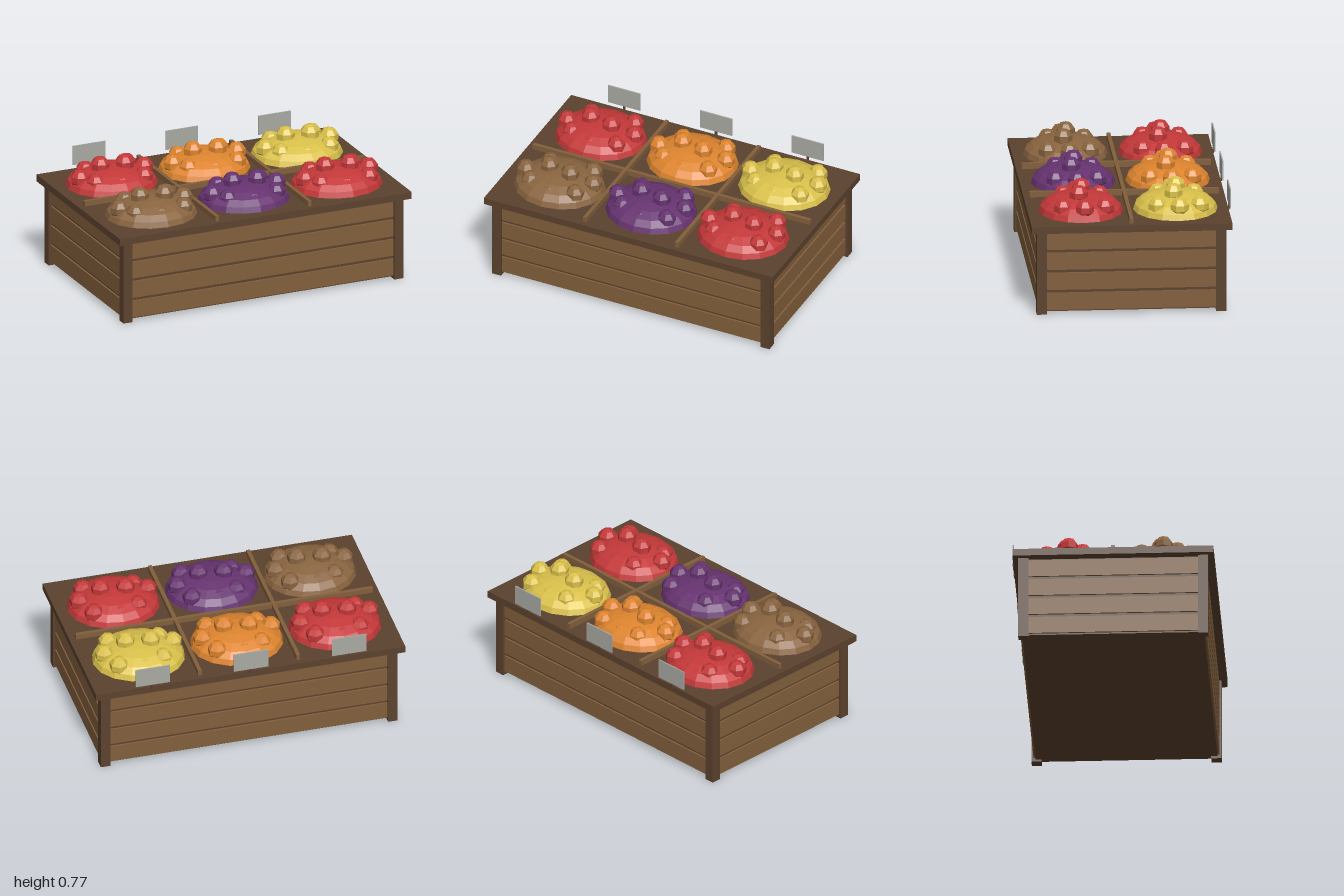
import * as THREE from 'three';

const mat = (name, color, flatShading = false) => {
  const m = new THREE.MeshStandardMaterial({ color, flatShading });
  m.name = name;
  return m;
};

export function createModel() {
  const root = new THREE.Group();
  root.name = 'produceStand';
  const darkWood = mat('darkWood', 0x5c422e);
  const lightWood = mat('lightWood', 0x825f3c);
  const signGrey = mat('signGrey', 0xaaaaa4);
  const red = mat('redProduce', 0xc43839, true);
  const orange = mat('orangeProduce', 0xdd842e, true);
  const yellow = mat('yellowProduce', 0xd9c04a, true);
  const brown = mat('brownProduce', 0x8a6540, true);
  const purple = mat('purpleProduce', 0x663370, true);

  const CZ = 0.005; // the table sits slightly forward of the signs

  // box given by its centre in x and z, and its bottom and top in y
  function box(name, material, x, z, y0, y1, w, d, parent = root) {
    const mesh = new THREE.Mesh(new THREE.BoxGeometry(w, y1 - y0, d), material);
    mesh.position.set(x, (y0 + y1) / 2, z);
    mesh.name = name;
    parent.add(mesh);
    return mesh;
  }

  // crate core, corner posts and table top
  box('crateCore', darkWood, 0, CZ, 0.015, 0.54, 1.87, 1.136);
  for (const sx of [-1, 1]) for (const sz of [-1, 1])
    box('cornerPost', darkWood, sx * 0.929, CZ + sz * 0.561, 0, 0.54, 0.062, 0.064);
  box('tableTop', darkWood, 0, CZ, 0.535, 0.58, 2, 1.255);

  // four rows of planks on every side
  for (let i = 0; i < 4; i++) {
    const y0 = 0.025 + i * 0.13, y1 = y0 + 0.11;
    for (const s of [-1, 1]) {
      box('longPlank', lightWood, 0, CZ + s * 0.57, y0, y1, 1.80, 0.02);
      box('shortPlank', lightWood, s * 0.937, CZ, y0, y1, 0.02, 1.06);
    }
  }

  // dividers between the six compartments
  for (const s of [-1, 1]) box('crossDivider', lightWood, s * 0.318, CZ, 0.575, 0.616, 0.024, 1.185);
  box('longDivider', lightWood, 0, CZ, 0.575, 0.614, 1.92, 0.024);

  // produce: a flattened dome with round pieces half sunk into it [x, y, z]
  const domeGeo = new THREE.SphereGeometry(1, 16, 5, 0, Math.PI * 2, 0, Math.PI / 2);
  domeGeo.scale(0.295, 0.122, 0.265);
  const pieceGeo = new THREE.SphereGeometry(0.062, 7, 5);
  const pieces = [
    [-0.075, 0.705, -0.008], [0.08, 0.705, 0.018],
    [-0.225, 0.648, 0.016], [0.225, 0.652, -0.01],
    [-0.125, 0.64, -0.125], [0.165, 0.642, -0.14],
    [0.165, 0.642, 0.122], [-0.155, 0.637, 0.1],
    [0, 0.619, -0.145], [0, 0.619, 0.145],
  ];
  const rows = [[red, orange, yellow], [brown, purple, red]];
  rows.forEach((row, r) => row.forEach((material, c) => {
    const pile = new THREE.Group();
    pile.name = 'producePile';
    pile.position.set((c - 1) * 0.635, 0, r ? 0.3 : -0.292);
    const dome = new THREE.Mesh(domeGeo, material);
    dome.name = 'pileDome';
    dome.position.y = 0.578;
    pile.add(dome);
    pieces.forEach((p, i) => {
      const piece = new THREE.Mesh(pieceGeo, material);
      piece.name = 'producePiece';
      piece.position.set(...p);
      piece.rotation.y = i * 0.9;
      pile.add(piece);
    });
    root.add(pile);
  }));

  // price signs along the back edge
  for (const x of [-0.635, 0, 0.635]) {
    const sign = new THREE.Group();
    sign.name = 'priceSign';
    box('signPlate', signGrey, x, -0.629, 0.6, 0.727, 0.222, 0.008, sign);
    box('signStick', darkWood, x, -0.627, 0.565, 0.602, 0.014, 0.008, sign);
    root.add(sign);
  }
  return root;
}
